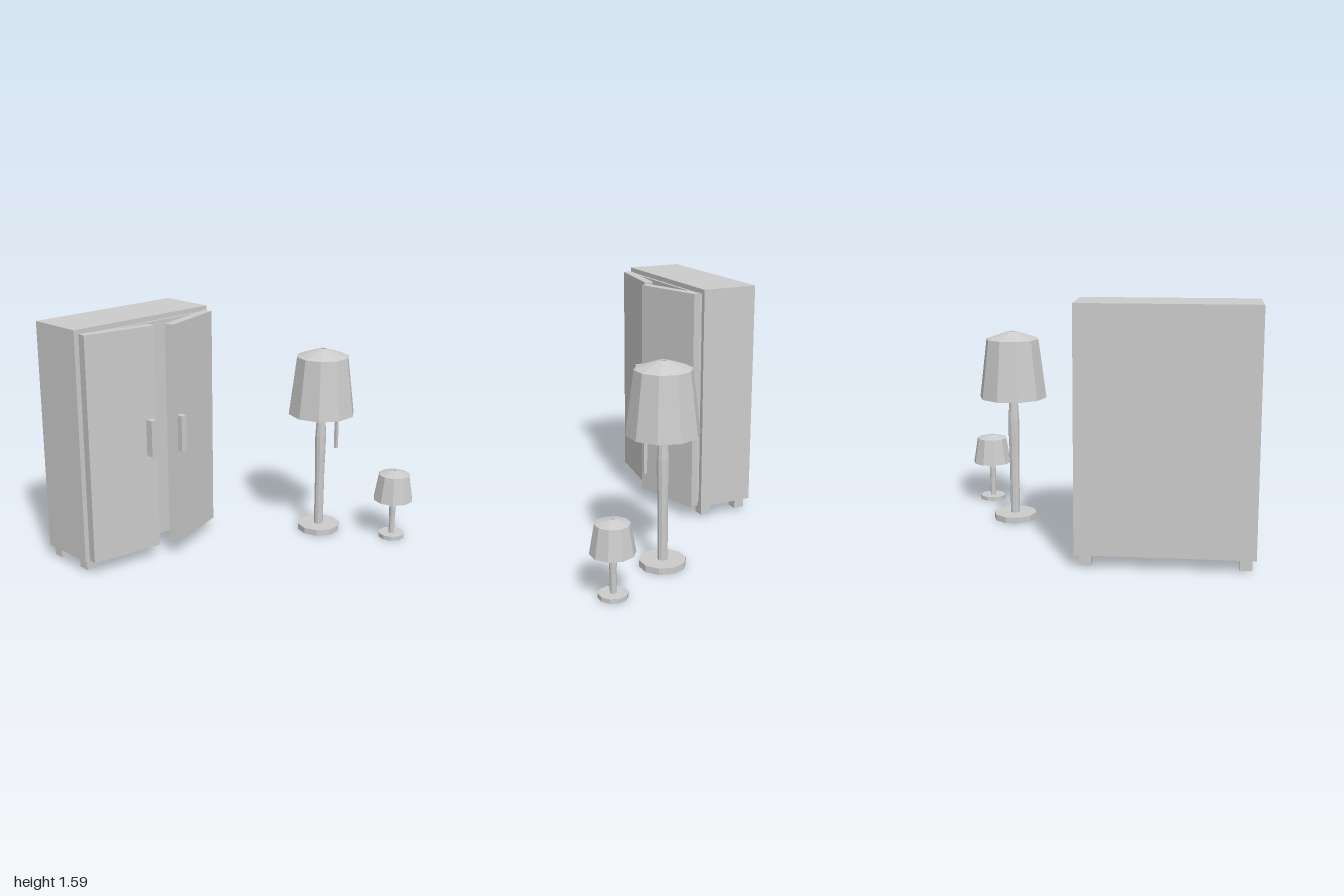
import * as THREE from 'three';

const grey = new THREE.MeshStandardMaterial({ color: 0xcccccc, flatShading: true });
const greyDouble = new THREE.MeshStandardMaterial({ color: 0xcccccc, flatShading: true, side: THREE.DoubleSide });

// Box given by size and centre, with an optional turn about y
function box(name, size, centre, turn = 0) {
  const mesh = new THREE.Mesh(new THREE.BoxGeometry(...size), grey);
  mesh.name = name;
  mesh.position.set(...centre);
  mesh.rotation.y = turn;
  return mesh;
}

// Ten-sided turned part from [radius, height] pairs, with corners on the x axis
function turned(name, profile, material = grey) {
  const points = profile.map(([r, y]) => new THREE.Vector2(r, y));
  const mesh = new THREE.Mesh(new THREE.LatheGeometry(points, 10, Math.PI / 2), material);
  mesh.name = name;
  return mesh;
}

function createWardrobe() {
  const group = new THREE.Group();
  group.name = 'wardrobe';
  group.add(box('cabinet', [1.085, 1.505, 0.385], [-0.4575, 0.8375, -0.5825]));
  group.add(box('frontPanel', [1.02, 1.44, 0.02], [-0.4575, 0.838, -0.382]));
  for (const x of [-0.94, 0.018])
    for (const z of [-0.445, -0.715])
      group.add(box('foot', [0.073, 0.075, 0.073], [x, 0.0525, z]));
  // Doors standing ajar
  group.add(box('rightDoor', [0.486, 1.475, 0.06], [-0.733, 0.8275, -0.316], -0.153));
  group.add(box('leftDoor', [0.49, 1.475, 0.06], [-0.175, 0.8275, -0.281], 0.297));
  group.add(box('rightHandle', [0.043, 0.24, 0.055], [-0.55, 0.85, -0.237]));
  group.add(box('leftHandle', [0.043, 0.24, 0.055], [-0.348, 0.85, -0.18]));
  return group;
}

// base, stem, shade: key radii and heights of one lamp
function createLamp(name, d) {
  const group = new THREE.Group();
  group.name = name;
  group.add(turned('base', [[0, 0], [d.baseR, 0], [d.baseR, d.baseH], [0, d.baseH]]));

  // Stem swells in the middle, then flares out to carry the shade
  const h = d.rimY - d.baseH;
  const s = d.stemR;
  group.add(turned('stem', [
    [s * 0.85, d.baseH], [s * 0.88, d.baseH + h * 0.5], [s, d.baseH + h * 0.68],
    [s, d.baseH + h * 0.8], [s * 0.75, d.rimY + 0.005], [d.flareR, d.flareY],
  ], greyDouble));

  // Tapered shade with a low cone top and a small dimple
  group.add(turned('shade', [
    [d.rimR, d.rimY], [d.shoulderR, d.shoulderY], [d.tipR, d.tipY],
    [d.tipR * 0.6, d.tipY], [d.tipR * 0.6, d.tipY - 0.01], [0, d.tipY - 0.01],
  ], greyDouble));
  return group;
}

export function createModel() {
  const model = new THREE.Group();
  model.name = 'bedroomSet';
  model.add(createWardrobe());

  const floorLamp = createLamp('floorLamp', {
    baseR: 0.147, baseH: 0.042, stemR: 0.038, rimY: 0.855, rimR: 0.228,
    shoulderR: 0.177, shoulderY: 1.253, tipR: 0.03, tipY: 1.303, flareR: 0.203, flareY: 1.04,
  });
  floorLamp.position.set(0.612, 0, 0.185);
  floorLamp.add(box('pullCord', [0.02, 0.36, 0.02], [0.012, 0.81, 0.127]));
  model.add(floorLamp);

  const tableLamp = createLamp('tableLamp', {
    baseR: 0.09, baseH: 0.028, stemR: 0.023, rimY: 0.278, rimR: 0.137,
    shoulderR: 0.106, shoulderY: 0.46, tipR: 0.018, tipY: 0.484, flareR: 0.12, flareY: 0.375,
  });
  tableLamp.position.set(0.862, 0, 0.638);
  model.add(tableLamp);
  return model;
}
